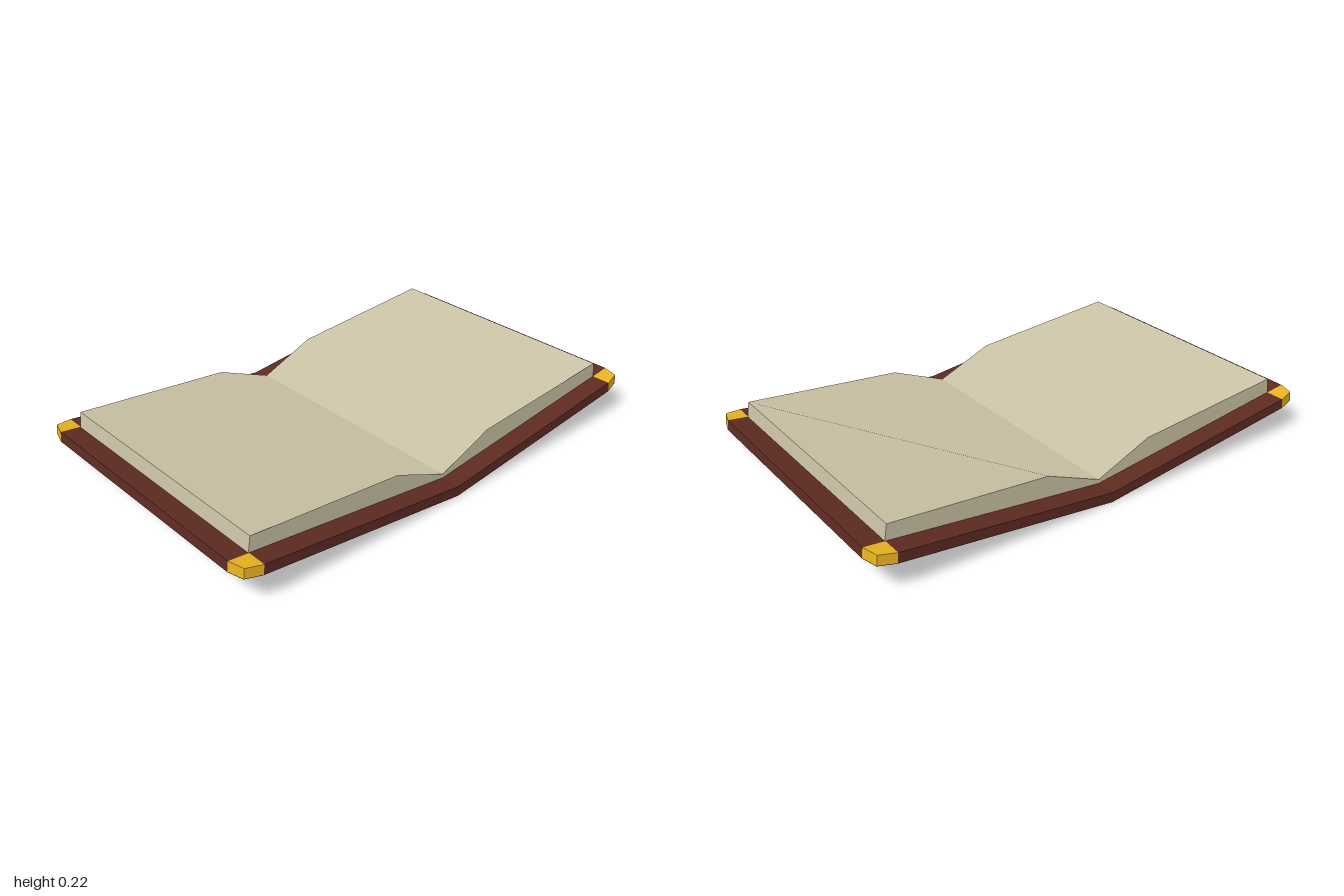
import * as THREE from 'three';

const material = (name, color) => {
  const m = new THREE.MeshStandardMaterial({ color });
  m.name = name;
  return m;
};

export function createModel() {
  const leather = material('brown leather', 0x5d2a21);
  const gold = material('gold', 0xe8b322);
  const paper = material('aged paper', 0xcac2a5);
  const book = new THREE.Group();
  book.name = 'openBook';

  function add(name, geometry, mat) {
    const mesh = new THREE.Mesh(geometry, mat);
    mesh.name = name;
    book.add(mesh);
  }

  // Slab from a plan outline, tilted up away from the spine; from and to are fractions of its thickness
  function slab(outline, from, to) {
    const shape = new THREE.Shape(outline.map(([x, y]) => new THREE.Vector2(x, y)));
    const g = new THREE.ExtrudeGeometry(shape, { depth: to - from, bevelEnabled: false });
    g.rotateX(-Math.PI / 2);
    const p = g.attributes.position;
    for (let i = 0; i < p.count; i++) {
      const x = p.getX(i), t = p.getY(i) + from;
      p.setXYZ(i, x * (1 - 0.005 * t), Math.abs(x) * 0.122 + 0.041 * t, p.getZ(i));
    }
    g.computeVertexNormals();
    return g;
  }

  // Polygons as triangle fans from their first corner, each with a single shading normal
  function fans(polygons) {
    const position = [], normal = [];
    for (const poly of polygons) {
      const corners = poly.map((c) => new THREE.Vector3(...c));
      const n = new THREE.Vector3();
      corners.forEach((c, i) => n.add(c.clone().cross(corners[(i + 1) % corners.length])));
      n.normalize();
      for (let i = 1; i < corners.length - 1; i++) {
        for (const c of [corners[0], corners[i], corners[i + 1]]) {
          position.push(...c.toArray());
          normal.push(...n.toArray());
        }
      }
    }
    const g = new THREE.BufferGeometry();
    g.setAttribute('position', new THREE.Float32BufferAttribute(position, 3));
    g.setAttribute('normal', new THREE.Float32BufferAttribute(normal, 3));
    return g;
  }

  for (const side of [1, -1]) {
    const label = side > 0 ? 'left' : 'right';

    // Cover board with notches for the corner guards
    const board = [[0, -0.617], [0.915, -0.617], [0.915, -0.537], [1, -0.537],
      [1, 0.537], [0.915, 0.537], [0.915, 0.617], [0, 0.617]];
    add(label + 'Cover', slab(board.map(([x, z]) => [x * side, z]), 0, 1), leather);

    // Gold corner guards over the leather underside
    for (const end of [1, -1]) {
      const corner = [[0.915, 0.537], [1, 0.537], [0.982, 0.6], [0.915, 0.617]]
        .map(([x, z]) => [x * side, z * end]);
      const place = label + (end > 0 ? 'Back' : 'Front');
      add(place + 'CornerUnderside', slab(corner, 0, 0.05), leather);
      add(place + 'CornerGuard', slab(corner, 0.05, 1), gold);
    }

    // Page block: raised ridge at the back, falling straight to the spine at the front
    const profile = [[0, 0.058], [0.24, 0.158], [0.903, 0.216], [0.913, 0.152], [0, 0.04]];
    const front = profile.map(([x, y]) => [x * side, y, 0.536]);
    const back = profile.map(([x, y]) => [x * side, y, -0.536]);
    const faces = [
      [front[2], back[2], back[1], back[0], front[0], front[1]],
      [front[3], back[3], back[2], front[2]],
      [front[4], back[4], back[3], front[3]],
      [...front].reverse(),
      back,
    ];
    add(label + 'Pages', fans(side > 0 ? faces : faces.map(([a, ...rest]) => [a, ...rest.reverse()])), paper);
  }

  return book;
}
